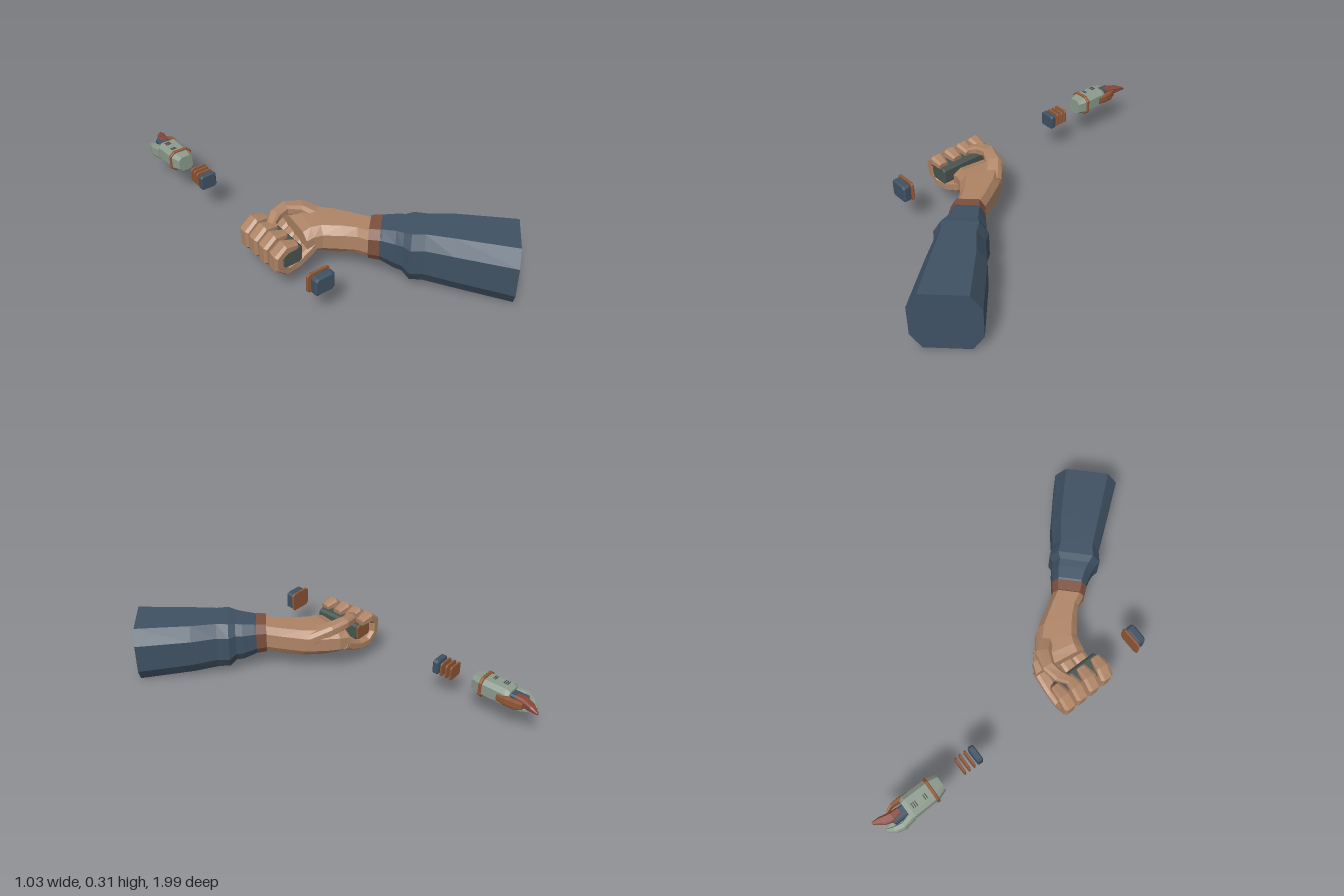
import * as THREE from 'three';

const V = (x, y, z) => new THREE.Vector3(x, y, z);
const mat = (name, color, extra = {}) => Object.assign(new THREE.MeshStandardMaterial({ color, flatShading: true, ...extra }), { name });

// Octagonal ring: centre c, half axes U and W, flat fractions fu and fw
function ring(c, U, W, fu = 0.6, fw = 0.55) {
  return [[fu, 1], [-fu, 1], [-1, fw], [-1, -fw], [-fu, -1], [fu, -1], [1, -fw], [1, fw]]
    .map(([a, b]) => c.clone().addScaledVector(U, a).addScaledVector(W, b));
}

// Closed flat-faced skin through a list of rings, wound outward by its signed volume
function loft(rings) {
  const tris = [], n = rings[0].length;
  for (let i = 0; i < rings.length - 1; i++) {
    const p = rings[i], q = rings[i + 1];
    for (let j = 0; j < n; j++) {
      const k = (j + 1) % n;
      tris.push([p[j], p[k], q[k]], [p[j], q[k], q[j]]);
    }
  }
  const a = rings[0], b = rings[rings.length - 1];
  for (let j = 1; j < n - 1; j++) tris.push([a[0], a[j + 1], a[j]], [b[0], b[j], b[j + 1]]);
  const o = a[0];
  let vol = 0;
  for (const [p, q, r] of tris) vol += p.clone().sub(o).dot(q.clone().sub(o).cross(r.clone().sub(o)));
  if (vol < 0) tris.forEach((t) => t.reverse());
  const g = new THREE.BufferGeometry().setFromPoints(tris.flat());
  g.computeVertexNormals();
  return g;
}

// Limb along a path; half sizes [across, along ref] for each point
function limb(path, ref, sizes) {
  return loft(path.map((p, i) => {
    const t = path[Math.min(i + 1, path.length - 1)].clone().sub(path[Math.max(i - 1, 0)]).normalize();
    const U = t.clone().cross(ref).normalize(), W = U.clone().cross(t);
    return ring(p, U.multiplyScalar(sizes[i][0]), W.multiplyScalar(sizes[i][1]));
  }));
}

// Shape along z from rows of [z, x, y, half width, half height]
const alongZ = (rows, f = 0.6) => loft(rows.map(([z, x, y, w, h]) => ring(V(x, y, z), V(w, 0, 0), V(0, h, 0), f, f)));

// Bevelled block along z
function block(x, y, z0, z1, w, h, bevel = 0.006, f = 0.75) {
  return alongZ([[z0, x, y, w - bevel, h - bevel], [z0 + bevel, x, y, w, h],
    [z1 - bevel, x, y, w, h], [z1, x, y, w - bevel, h - bevel]], f);
}

export function createModel() {
  const model = new THREE.Group();
  model.name = 'armWithTool';
  const skin = mat('skin', 0xae8466), cloth = mat('blue cloth', 0x3f5163), cuffMat = mat('cuff brown', 0x7d5140);
  const copper = mat('copper', 0x8f5736), grip = mat('grip grey', 0x47534f), shell = mat('shell green', 0x8c9a8c);
  const red = mat('red brown', 0x85463a), dark = mat('vent dark', 0x4a5250);
  const add = (name, geo, m, parent = model) => {
    const mesh = new THREE.Mesh(geo, m);
    mesh.name = name;
    parent.add(mesh);
    return mesh;
  };

  // Sleeve runs diagonally: rows are [distance, right side, left side, top, bottom]
  const h = Math.SQRT1_2;
  const diagonal = (rows) => loft(rows.map(([s, r, l, top, bot]) => {
    const w = (r + l) / 2, hw = (r - l) / 2;
    return ring(V((s + w) * h, (top + bot) / 2, (s - w) * h), V(hw * h, 0, -hw * h), V(0, (top - bot) / 2, 0), 0.68, 0.5);
  }));
  add('sleeve', diagonal([
    [0.275, -0.24, -0.4, 0.285, 0.13], [0.3, -0.236, -0.405, 0.293, 0.115],
    [0.36, -0.227, -0.42, 0.3, 0.09], [0.395, -0.226, -0.435, 0.303, 0.088],
    [0.43, -0.208, -0.458, 0.31, 0.056], [0.49, -0.216, -0.447, 0.311, 0.052],
    [0.62, -0.195, -0.466, 0.312, 0.036], [0.9, -0.184, -0.5, 0.309, 0.004]]), cloth);
  add('cuff', diagonal([[0.238, -0.244, -0.402, 0.288, 0.124], [0.29, -0.236, -0.406, 0.293, 0.12]]), cuffMat);

  // Wrist and palm: rows are [outer x, outer z, inner x, inner z, top, bottom]
  add('wristAndPalm', loft([
    [0.005, 0.365, -0.112, 0.45, 0.278, 0.13], [-0.04, 0.285, -0.135, 0.4, 0.276, 0.128],
    [-0.108, 0.17, -0.18, 0.355, 0.275, 0.126], [-0.185, 0.085, -0.25, 0.298, 0.273, 0.13],
    [-0.235, 0.04, -0.29, 0.285, 0.27, 0.137], [-0.288, 0.018, -0.327, 0.28, 0.255, 0.148],
  ].map(([ox, oz, ix, iz, top, bot]) => ring(
    V((ox + ix) / 2, (top + bot) / 2, (oz + iz) / 2),
    V((ox - ix) / 2, 0, (oz - iz) / 2), V(0, (top - bot) / 2, 0), 0.7, 0.5))), skin);

  // Four fingers curled under and around the grip
  const curl = [[-0.27, 0.185], [-0.325, 0.155], [-0.38, 0.13], [-0.45, 0.125], [-0.495, 0.165],
    [-0.496, 0.23], [-0.455, 0.264], [-0.395, 0.255]];
  [[0.055, -0.008, 1.02], [0.12, 0.004, 1], [0.187, 0.015, 0.98], [0.252, 0.035, 0.93]].forEach(([z, dz, k], i) => {
    const path = curl.map(([x, y], j) => V(-0.41 + (x + 0.41) * (j > 2 ? k : 1), 0.195 + (y - 0.195) * k, z + dz * j / 7));
    add('finger' + (i + 1), limb(path, V(0, 0, 1),
      curl.map((_, j) => (j === 7 ? [0.017, 0.024] : [0.025, 0.034]))), skin);
  });

  // Thumb arches over the top of the grip
  add('thumb', limb([V(-0.16, 0.225, 0.17), V(-0.235, 0.272, 0.1), V(-0.305, 0.286, 0.075), V(-0.365, 0.278, 0.085), V(-0.415, 0.262, 0.12)],
    V(0, 1, 0), [[0.045, 0.035], [0.038, 0.029], [0.031, 0.026], [0.029, 0.024], [0.02, 0.016]]), skin);

  // Grip held in the fist
  add('grip', block(-0.42, 0.2, 0.05, 0.305, 0.052, 0.046), grip);
  add('gripEnd', block(-0.42, 0.2, 0.04, 0.05, 0.048, 0.042, 0.002), copper);

  // Pommel in front of the hand
  add('pommelPlate', block(-0.424, 0.207, 0.488, 0.5, 0.06, 0.052, 0.003), copper);
  add('pommel', block(-0.42, 0.207, 0.503, 0.545, 0.052, 0.048, 0.008), cloth);

  // Collar and its three spacer plates
  add('collar', block(-0.42, 0.207, -0.457, -0.427, 0.043, 0.04, 0.005), cloth);
  [-0.476, -0.504, -0.53].forEach((z, i) =>
    add('spacer' + (i + 1), block(-0.42, 0.207, z - 0.005, z + 0.005, 0.042, 0.039, 0.002), copper));

  // Tool head: shell, band, core and claws
  const head = new THREE.Group();
  head.name = 'toolHead';
  model.add(head);
  add('shell', alongZ([[-0.645, -0.428, 0.208, 0.038, 0.04], [-0.69, -0.43, 0.208, 0.053, 0.047],
    [-0.825, -0.432, 0.208, 0.056, 0.047], [-0.845, -0.432, 0.205, 0.048, 0.038]]), shell, head);
  add('band', block(-0.43, 0.208, -0.708, -0.692, 0.06, 0.056, 0.003, 0.6), copper, head);
  add('core', block(-0.432, 0.205, -0.92, -0.84, 0.028, 0.028), cloth, head);
  add('leftClaw', alongZ([[-0.83, -0.47, 0.195, 0.02, 0.038], [-0.89, -0.484, 0.19, 0.016, 0.034],
    [-0.935, -0.472, 0.182, 0.016, 0.025], [-0.965, -0.452, 0.175, 0.008, 0.012]]), shell, head);
  add('lowerClaw', alongZ([[-0.81, -0.43, 0.172, 0.034, 0.012], [-0.9, -0.44, 0.163, 0.026, 0.012],
    [-0.955, -0.447, 0.167, 0.01, 0.007]]), shell, head);
  add('rightClaw', alongZ([[-0.79, -0.38, 0.205, 0.008, 0.018], [-0.84, -0.379, 0.207, 0.012, 0.024],
    [-0.885, -0.379, 0.207, 0.009, 0.026], [-0.92, -0.392, 0.205, 0.006, 0.018]]), copper, head);
  add('redBlade', alongZ([[-0.87, -0.42, 0.212, 0.018, 0.025], [-0.91, -0.424, 0.212, 0.025, 0.024],
    [-0.96, -0.408, 0.21, 0.021, 0.017], [-1.0, -0.391, 0.205, 0.006, 0.006]]), red, head);

  // Vent slots on the top and underside of the shell
  for (const y of [0.2555, 0.1605]) for (const z of [-0.735, -0.745, -0.79, -0.8, -0.81]) {
    add('vent', new THREE.BoxGeometry(0.028, 0.004, 0.005), dark, head).position.set(-0.445, y, z);
  }
  return model;
}
